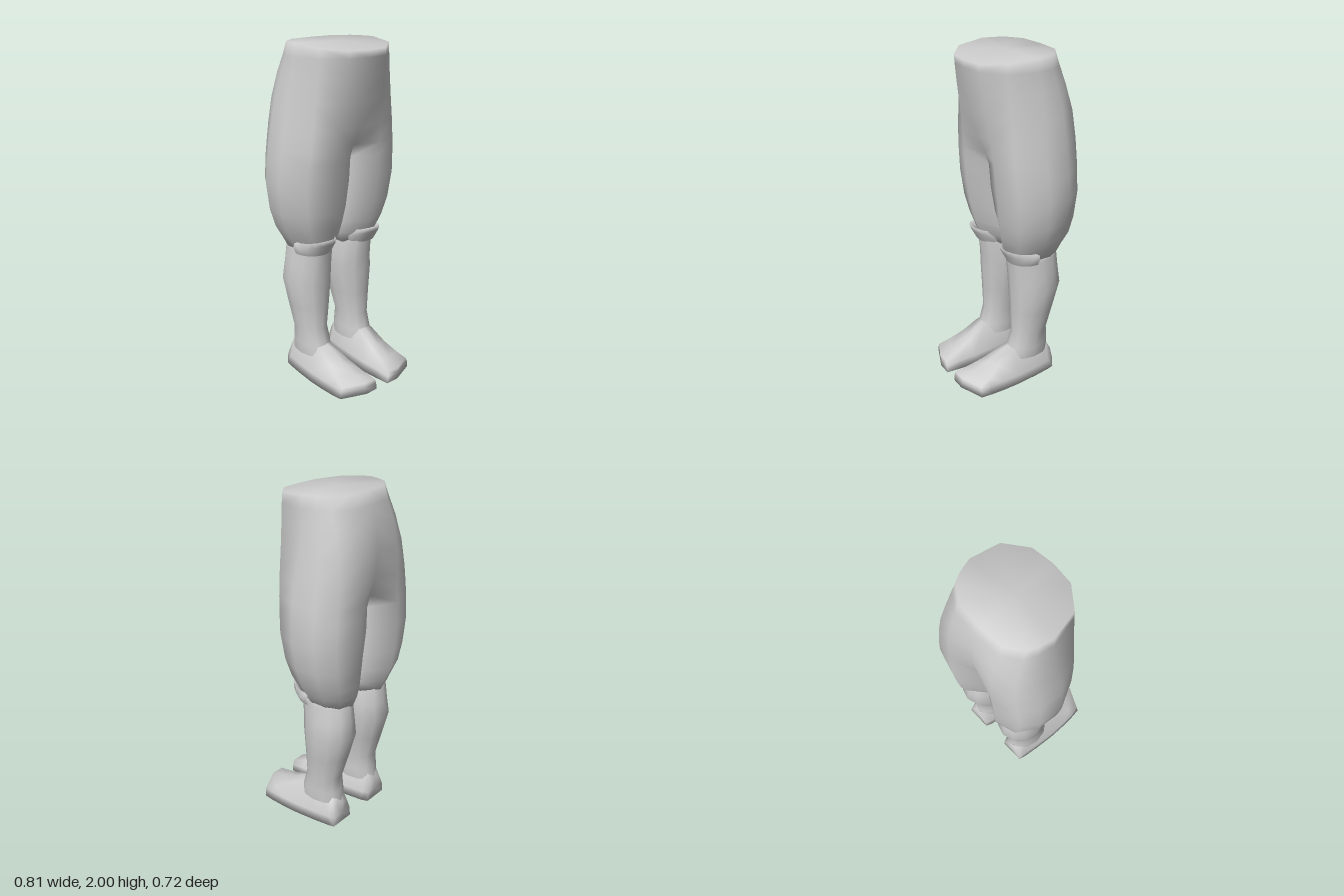
import * as THREE from 'three';
import { mergeGeometries, mergeVertices } from 'three/addons/utils/BufferGeometryUtils.js';

const lerp = THREE.MathUtils.lerp;

// Skin a list of cross-sections; start and end may be closed with a fan around a point
function loft(rings, { closed = true, start = null, end = null } = {}) {
  const n = rings[0].length, pos = rings.flat(2), idx = [];
  const m = closed ? n : n - 1;
  const last = (rings.length - 1) * n;
  for (let i = 0; i < rings.length - 1; i++) {
    for (let j = 0; j < m; j++) {
      const a = i * n + j, b = i * n + (j + 1) % n, c = a + n, d = b + n;
      idx.push(a, c, b, b, c, d);
    }
  }
  if (start) {
    const k = pos.length / 3;
    pos.push(...start);
    for (let j = 0; j < m; j++) idx.push(k, j, (j + 1) % n);
  }
  if (end) {
    const k = pos.length / 3;
    pos.push(...end);
    for (let j = 0; j < m; j++) idx.push(k, last + (j + 1) % n, last + j);
  }
  const g = new THREE.BufferGeometry();
  g.setAttribute('position', new THREE.Float32BufferAttribute(pos, 3));
  g.setIndex(idx);
  return g;
}

// Copy to the other side, turning the faces round again
function mirrored(g) {
  const r = g.clone().scale(-1, 1, 1);
  r.setIndex(Array.from(g.index.array).reverse());
  return r;
}

function smooth(g) {
  const r = mergeVertices(g, 1e-4);
  r.computeVertexNormals();
  return r;
}

// Outline of one half of the hips: [share of width, share of depth from the front]
const WAIST = [[0.46, 0.03], [0.88, 0.23], [1, 0.575], [0.93, 0.74], [0.84, 0.85], [0.53, 0.98]];
const THIGH = [[0.42, 0], [0.81, 0.09], [1, 0.41], [0.96, 0.7], [0.79, 0.91], [0.42, 1]];

// [y, inner x, outer x, front z, back z, front crease depth, back crease depth]
const HIPS = [
  [2.0, 0, 0.285, 0.225, -0.26, 0, 0],
  [1.93, 0, 0.292, 0.22, -0.285, 0, 0],
  [1.83, 0, 0.31, 0.205, -0.322, 0, 0.005],
  [1.69, 0, 0.337, 0.18, -0.35, 0, 0.02],
  [1.54, 0, 0.365, 0.155, -0.354, 0.008, 0.04],
  [1.43, 0, 0.383, 0.143, -0.355, 0.045, 0.07],
];
const LEGS = [
  HIPS[5],
  [1.36, 0.004, 0.392, 0.137, -0.356, 0.06, 0.085],
  [1.22, 0.003, 0.404, 0.125, -0.357, 0.06, 0.09],
  [1.06, 0.003, 0.382, 0.107, -0.348, 0.07, 0.1],
  [0.95, 0.003, 0.345, 0.085, -0.337, 0.08, 0.11],
  [0.87, 0.008, 0.3, 0.06, -0.308, 0.08, 0.1],
  [0.8, 0.04, 0.262, 0.03, -0.28, 0.08, 0.08],
];

function halfRing([y, xi, xo, zf, zb, cf, cb]) {
  const t = THREE.MathUtils.clamp((2 - y) / 0.5, 0, 1);
  const pts = [[xi, y, zf - cf]];
  WAIST.forEach(([u, v], i) => {
    const uu = lerp(u, THIGH[i][0], t), vv = lerp(v, THIGH[i][1], t);
    pts.push([lerp(xi, xo, uu), y, lerp(zf, zb, vv)]);
  });
  pts.push([xi, y, zb + cb]);
  // the waistline dips towards the front
  if (y === 2) pts.forEach(p => { p[1] -= 0.03 * Math.max(0, p[2] / 0.225); });
  return pts;
}

function trousers() {
  const hips = loft(HIPS.map(halfRing), { closed: false, start: [0, 2, -0.03] });
  const leg = loft(LEGS.map(halfRing), { end: [0.15, 0.8, -0.12] });
  const half = mergeGeometries([hips, leg]);
  return smooth(mergeGeometries([half, mirrored(half)]));
}

// Boot shaft: [y, inner x, outer x, front z, back z]
const SHAFT = [
  [0.84, 0.06, 0.265, 0.05, -0.26],
  [0.8, 0.04, 0.275, 0.045, -0.28],
  [0.7, 0.033, 0.285, 0.032, -0.29],
  [0.605, 0.025, 0.3, 0.025, -0.3],
  [0.45, 0.048, 0.28, 0.018, -0.258],
  [0.3, 0.075, 0.26, 0.013, -0.215],
  [0.21, 0.065, 0.265, 0.04, -0.222],
  [0.14, 0.07, 0.26, 0.06, -0.23],
];

function shaft() {
  const rings = SHAFT.map(([y, xi, xo, zf, zb]) => Array.from({ length: 12 }, (_, j) => {
    const a = j / 12 * Math.PI * 2;
    return [(xi + xo) / 2 + (xo - xi) / 2 * Math.sin(a), y, (zf + zb) / 2 + (zf - zb) / 2 * Math.cos(a)];
  }));
  return smooth(loft(rings, { start: [0.16, 0.84, -0.1] }));
}

// Flared knee flap round the front of the boot: [y, half width, front reach]
const FLAP = [[0.865, 0.1, 0.13], [0.905, 0.115, 0.17], [0.87, 0.13, 0.155], [0.8, 0.112, 0.118]];

function kneeFlap() {
  const rings = FLAP.map(([y, rx, rz], i) => Array.from({ length: 11 }, (_, j) => {
    const a = lerp(-1.65, 1.65, j / 10), s = Math.sin(a);
    const drop = i === 3 ? 0 : 0.03 * s * s;
    return [0.175 + rx * s, y - drop, -0.07 + rz * Math.cos(a)];
  }));
  return smooth(loft(rings, { closed: false }));
}

// Foot from toe to heel: [z inner, z outer, inner x, outer x, height, top inner x, top outer x]
const FOOT = [
  [0.36, 0.3, 0.045, 0.28, 0.075, 0.06, 0.265],
  [0.27, 0.235, 0.038, 0.286, 0.105, 0.08, 0.25],
  [0.17, 0.15, 0.035, 0.288, 0.145, 0.1, 0.225],
  [0.04, 0.04, 0.045, 0.285, 0.212, 0.12, 0.215],
  [-0.1, -0.1, 0.06, 0.27, 0.215, 0.11, 0.22],
  [-0.2, -0.2, 0.075, 0.255, 0.2, 0.12, 0.215],
  [-0.238, -0.238, 0.09, 0.245, 0.13, 0.12, 0.21],
];

function foot() {
  const rings = FOOT.map(([zi, zo, xi, xo, h, ti, to], i) => {
    const xm = lerp(xi, xo, 0.36), zm = i < 3 ? zi : (zi + zo) / 2, side = Math.min(0.06, h * 0.55);
    return [[xi, 0, zi], [xm, 0, zm], [xo, 0, zo], [xo - 0.004, side, zo], [to, h * (i < 2 ? 0.85 : 0.94), zo],
      [lerp(ti, to, 0.4), h, zm], [ti, h * 0.97, zi], [xi + 0.004, side, zi]];
  });
  return smooth(loft(rings, { start: [0.14, 0.035, 0.351], end: [0.165, 0.06, -0.238] }));
}

export function createModel() {
  const group = new THREE.Group();
  const material = new THREE.MeshStandardMaterial({ color: 0xcccccc, side: THREE.DoubleSide });
  const add = (name, geometry, parent) => {
    const mesh = new THREE.Mesh(geometry, material);
    mesh.name = name;
    parent.add(mesh);
  };
  add('trousers', trousers(), group);

  // Boots, the left one mirrored for the right
  const parts = { bootShaft: shaft(), kneeFlap: kneeFlap(), foot: foot() };
  for (const side of ['left', 'right']) {
    const boot = new THREE.Group();
    boot.name = side + 'Boot';
    for (const [name, g] of Object.entries(parts)) {
      add(name, side === 'left' ? g : smooth(mirrored(g).deleteAttribute('normal')), boot);
    }
    group.add(boot);
  }
  return group;
}
